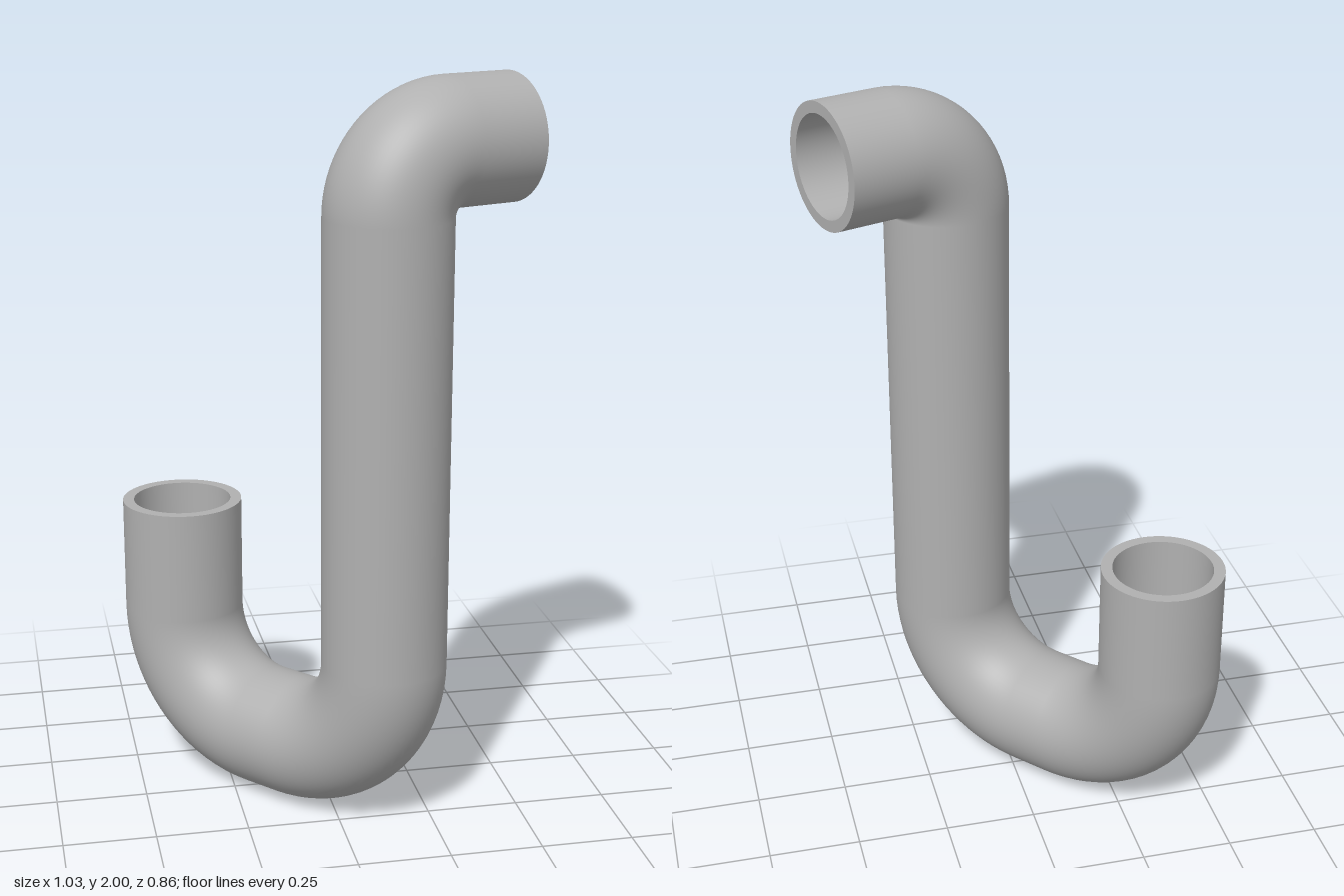
import * as THREE from 'three';

const OUTER = 0.167, INNER = 0.136, SIDES = 64;
const V = (x, y, z) => new THREE.Vector3(x, y, z);

// Centre line: straight runs joined by circular bends; returns points with exact tangents
function centreLine(corners, radii) {
  const path = [];
  const dir = (a, b) => b.clone().sub(a).normalize();
  const last = corners.length - 1;
  path.push({ p: corners[0], t: dir(corners[0], corners[1]) });
  for (let i = 1; i < last; i++) {
    const a = dir(corners[i - 1], corners[i]), b = dir(corners[i], corners[i + 1]);
    const r = radii[i - 1], steps = 20;
    // every bend is a right angle, so it starts one radius before its corner
    const centre = corners[i].clone().addScaledVector(a, -r).addScaledVector(b, r);
    for (let k = 0; k <= steps; k++) {
      const u = (k / steps) * Math.PI / 2, c = Math.cos(u), s = Math.sin(u);
      path.push({
        p: centre.clone().addScaledVector(b, -r * c).addScaledVector(a, r * s),
        t: a.clone().multiplyScalar(c).addScaledVector(b, s),
      });
    }
  }
  path.push({ p: corners[last], t: dir(corners[last - 1], corners[last]) });
  return path;
}

// Carry a cross-section frame along the path without twisting
function addFrames(path) {
  let n = V(1, 0, 0);
  path.forEach((f, i) => {
    if (i) n = n.clone().applyQuaternion(new THREE.Quaternion().setFromUnitVectors(path[i - 1].t, f.t));
    f.n = n;
    f.b = f.t.clone().cross(n);
  });
  return path;
}

// Skin rings {frame, radius}; normalOf gives the normal from the frame and radial direction
function skin(rings, flip, normalOf) {
  const pos = [], nor = [], idx = [], row = SIDES + 1;
  rings.forEach(({ f, r }, i) => {
    for (let j = 0; j <= SIDES; j++) {
      const u = (j / SIDES) * Math.PI * 2;
      const d = f.n.clone().multiplyScalar(Math.cos(u)).addScaledVector(f.b, Math.sin(u));
      pos.push(...f.p.clone().addScaledVector(d, r).toArray());
      nor.push(...normalOf(f, d).toArray());
      if (i && j < SIDES) {
        const a = (i - 1) * row + j, b = a + 1, c = a + row, e = c + 1;
        if (flip) idx.push(a, c, b, b, c, e);
        else idx.push(a, b, c, b, e, c);
      }
    }
  });
  const g = new THREE.BufferGeometry();
  g.setAttribute('position', new THREE.Float32BufferAttribute(pos, 3));
  g.setAttribute('normal', new THREE.Float32BufferAttribute(nor, 3));
  g.setIndex(idx);
  return g;
}

export function createModel() {
  const group = new THREE.Group();
  group.name = 'bentPipe';
  const grey = new THREE.MeshStandardMaterial({ color: 0xb0b0b0 });
  grey.name = 'pipe grey';

  const path = addFrames(centreLine([
    V(-0.35, 0.78, -0.265),  // short upright mouth
    V(-0.35, 0.167, -0.265),
    V(0.117, 0.167, 0.265),
    V(0.117, 1.833, 0.265),
    V(0.458, 1.833, 0.141),  // side outlet
  ], [0.3, 0.3, 0.175]));

  const add = (name, geometry) => {
    const mesh = new THREE.Mesh(geometry, grey);
    mesh.name = name;
    group.add(mesh);
  };

  // Outer wall and hollow bore
  add('outerWall', skin(path.map(f => ({ f, r: OUTER })), false, (f, d) => d.clone()));
  add('innerBore', skin(path.map(f => ({ f, r: INNER })), true, (f, d) => d.clone().negate()));

  // Flat rims closing the wall at both ends
  const start = path[0], end = path[path.length - 1];
  add('mouthRim', skin([{ f: start, r: INNER }, { f: start, r: OUTER }], false, f => f.t.clone().negate()));
  add('outletRim', skin([{ f: end, r: OUTER }, { f: end, r: INNER }], false, f => f.t.clone()));
  return group;
}
